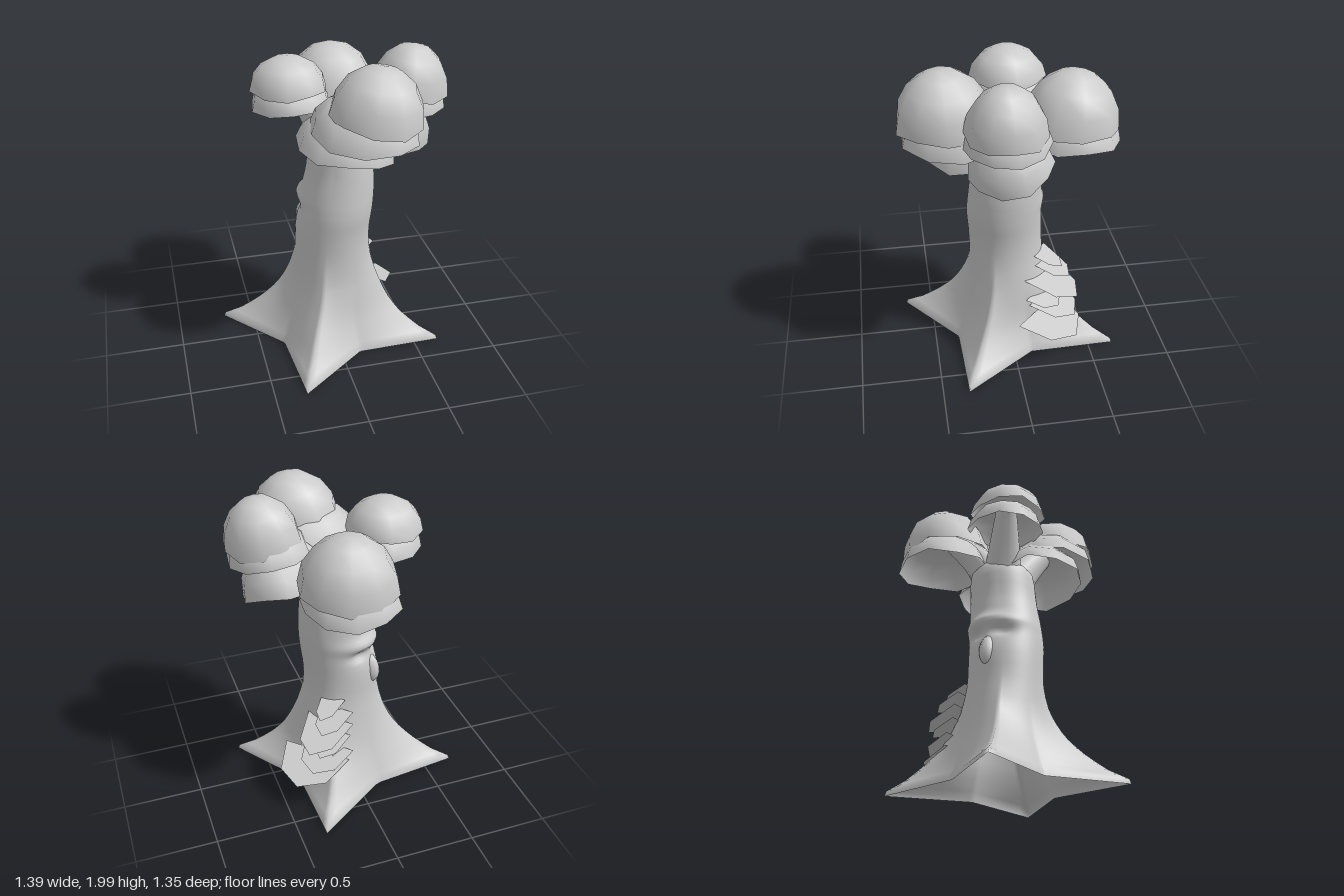
import * as THREE from 'three';
import { mergeVertices } from 'three/addons/utils/BufferGeometryUtils.js';

const grey = new THREE.MeshStandardMaterial({ color: 0xcccccc });
const greyThin = new THREE.MeshStandardMaterial({ color: 0xcccccc, side: THREE.DoubleSide });
const rad = THREE.MathUtils.degToRad;

function addMesh(parent, name, geometry, material = grey) {
  const mesh = new THREE.Mesh(geometry, material);
  mesh.name = name;
  parent.add(mesh);
  return mesh;
}

// Trunk profile: height, centre x, centre z, radius x, radius z, reach of the roots
const TOP = 1.58;
const PROFILE = [
  [0.00, 0.00, 0.00, 0.37, 0.37, 0.745],
  [0.04, 0.00, 0.00, 0.36, 0.36, 0.735],
  [0.10, 0.00, 0.00, 0.335, 0.335, 0.61],
  [0.20, 0.00, 0.00, 0.30, 0.30, 0.48],
  [0.30, 0.01, 0.00, 0.28, 0.275, 0.385],
  [0.40, 0.02, 0.00, 0.265, 0.26, 0.325],
  [0.50, 0.02, 0.00, 0.255, 0.245, 0.28],
  [0.65, 0.015, 0.01, 0.24, 0.235, 0.24],
  [0.80, 0.015, 0.015, 0.235, 0.235, 0.235],
  [0.95, 0.035, 0.025, 0.235, 0.24, 0.237],
  [1.10, 0.05, 0.02, 0.23, 0.23, 0.23],
  [1.25, 0.065, 0.015, 0.21, 0.22, 0.21],
  [1.45, 0.055, 0.00, 0.20, 0.21, 0.205],
  [1.53, 0.055, 0.00, 0.16, 0.17, 0.165],
  [TOP, 0.055, 0.00, 0.0, 0.0, 0.0],
];
const ROOTS = [27, 114, 201, 297].map(rad);
const FACE = rad(225);

function profileAt(y) {
  let i = 1;
  while (i < PROFILE.length - 1 && PROFILE[i][0] < y) i++;
  const a = PROFILE[i - 1], b = PROFILE[i];
  const t = (y - a[0]) / (b[0] - a[0]);
  return a.map((v, k) => v + (b[k] - v) * t);
}

// Averages neighbouring heights so the profile has no kinks
function smoothProfile(y) {
  const w = Math.min(0.06, y * 0.15, TOP - y);
  const [a, b, c] = [y - w, y, y + w].map(profileAt);
  return b.map((v, k) => (a[k] + 2 * v + c[k]) / 4);
}

const bump = (a, w) => Math.exp(-(a * a) / (w * w));
const angleGap = (a, b) => Math.atan2(Math.sin(a - b), Math.cos(a - b));

function trunkPoint(y, angle) {
  const [, cx, cz, rx, rz, reach] = smoothProfile(y);
  // Roots run to points, as the corners of a four-armed star
  const gap = Math.min(...ROOTS.map((r) => Math.abs(angleGap(angle, r))));
  const lobe = Math.max(0, 2 / (Math.cos(gap) + 1.83 * Math.sin(gap)) - 1);
  const mean = (rx + rz) / 2;
  const grow = mean > 0 ? 1 + (reach / mean - 1) * lobe : 0;
  // Brow ridge, eye hollows and cheeks
  const s = angleGap(angle, FACE);
  const face = 0.04 * bump(s, 0.85) * bump(y - 1.04, 0.045)
    - 0.03 * bump(Math.abs(s) - 0.42, 0.3) * bump(y - 0.96, 0.035)
    + 0.012 * bump(s, 0.7) * bump(y - 0.82, 0.1);
  return [cx + Math.cos(angle) * (rx * grow + face), y, cz + Math.sin(angle) * (rz * grow + face)];
}

// Rings stacked from the open base to the closed top
function trunkGeometry() {
  const N = 120, pos = [], idx = [];
  const heights = [0.01, 0.04, 0.07, 0.1, 0.15, 0.2, 0.25, 0.3, 0.35, 0.4, 0.45, 0.5, 0.58, 0.65, 0.72, 0.8, 0.86];
  for (let y = 0.9; y < 1.15; y += 0.02) heights.push(y);
  heights.push(1.2, 1.25, 1.32, 1.39, 1.45, 1.49, 1.53, TOP);
  for (const y of heights) for (let j = 0; j < N; j++) pos.push(...trunkPoint(y, (j / N) * Math.PI * 2));
  for (let i = 0; i < heights.length - 1; i++) {
    for (let j = 0; j < N; j++) {
      const a = i * N + j, b = i * N + (j + 1) % N;
      idx.push(a, a + N, b, b, a + N, b + N);
    }
  }
  const g = new THREE.BufferGeometry();
  g.setAttribute('position', new THREE.Float32BufferAttribute(pos, 3));
  g.setIndex(idx);
  g.computeVertexNormals();
  return g;
}

// Joins seam vertices so the shading is continuous
function smooth(geometry) {
  geometry.deleteAttribute('uv');
  geometry.deleteAttribute('normal');
  const g = mergeVertices(geometry);
  g.computeVertexNormals();
  return g;
}

// Tube whose radius shrinks from r0 to r1
function branchGeometry(points, r0, r1) {
  const curve = new THREE.CatmullRomCurve3(points.map((p) => new THREE.Vector3(...p)));
  const n = 10, sides = 12;
  const g = new THREE.TubeGeometry(curve, n, 1, sides);
  const p = g.attributes.position, v = new THREE.Vector3();
  for (let i = 0; i < p.count; i++) {
    const t = Math.floor(i / (sides + 1)) / n, c = curve.getPointAt(t);
    v.fromBufferAttribute(p, i).sub(c).multiplyScalar(r0 + (r1 - r0) * t).add(c);
    p.setXYZ(i, v.x, v.y, v.z);
  }
  return smooth(g);
}

// Open low-sided dome with an uneven rim
function domeGeometry(seed) {
  const sides = 10;
  const g = new THREE.SphereGeometry(1, sides, 4, seed, Math.PI * 2, 0, Math.PI / 2);
  const p = g.attributes.position;
  for (let i = 0; i < p.count; i++) {
    const y = p.getY(i), j = (i % (sides + 1)) % sides;
    const low = Math.max(0, 1 - y * 1.5);
    const k = 1 + 0.03 * low * Math.sin(j * 2.4 + seed * 3);
    p.setXYZ(i, p.getX(i) * k, y + 0.06 * low * Math.sin(j * 1.9 + seed * 5), p.getZ(i) * k);
  }
  return smooth(g);
}

// Layers: centre x, rim height, centre z, radius, dome height, tilt x, tilt z
const CROWNS = [
  { name: 'frontCrown', tip: [0.16, 1.78, 0.36], layers: [
    [0.175, 1.67, 0.395, 0.285, 0.32, 0.03, -0.12],
    [0.125, 1.56, 0.33, 0.33, 0.25, 0.05, -0.08],
    [0.035, 1.43, 0.24, 0.30, 0.25, 0.0, -0.16]] },
  { name: 'backCrown', tip: [0.1, 1.7, -0.32], layers: [
    [0.10, 1.57, -0.37, 0.295, 0.33, -0.12, 0],
    [0.09, 1.47, -0.39, 0.29, 0.22, -0.05, 0]] },
  { name: 'leftCrown', tip: [0.44, 1.8, 0.04], layers: [
    [0.47, 1.71, 0.075, 0.235, 0.29, 0, -0.12],
    [0.445, 1.63, 0.065, 0.25, 0.2, 0.04, -0.1],
    [0.375, 1.42, 0.03, 0.25, 0.27, 0.2, -0.15]] },
  { name: 'rightCrown', tip: [-0.21, 1.8, -0.04], layers: [
    [-0.245, 1.74, -0.04, 0.235, 0.2, 0, 0],
    [-0.23, 1.64, -0.05, 0.24, 0.18, 0, 0.06]] },
];

// Bark shelves: height, sideways shift, half width, distance of the tip from the axis
const SHELVES = [
  [0.68, 0.04, 0.08, 0.41], [0.61, 0.07, 0.11, 0.45], [0.53, 0.03, 0.16, 0.54],
  [0.45, 0.07, 0.11, 0.48], [0.40, -0.02, 0.13, 0.43], [0.35, 0.04, 0.17, 0.52],
  [0.28, -0.04, 0.23, 0.59],
];
const SHELF_TILT = 0.28;

export function createModel() {
  const model = new THREE.Group();
  model.name = 'tree';

  addMesh(model, 'trunkAndRoots', trunkGeometry(), greyThin);

  // Nose
  const nose = addMesh(model, 'nose', new THREE.SphereGeometry(1, 10, 8));
  const [nx, , nz] = trunkPoint(0.83, FACE);
  nose.position.set(nx + 0.015, 0.83, nz + 0.015);
  nose.rotation.set(-0.2, FACE, 0, 'YXZ');
  nose.scale.set(0.05, 0.1, 0.055);

  // Forking branches with layered crowns
  CROWNS.forEach(({ name, tip, layers }, c) => {
    const crown = new THREE.Group();
    crown.name = name;
    model.add(crown);
    const mid = [0.06 + (tip[0] - 0.06) * 0.45, 1.55, tip[2] * 0.45];
    addMesh(crown, 'branch', branchGeometry([[0.06, 1.32, 0], mid, tip], 0.15, 0.07));
    layers.forEach(([x, y, z, r, h, tx, tz], i) => {
      const dome = addMesh(crown, 'foliageDome', domeGeometry(c * 1.3 + i * 0.7), greyThin);
      dome.position.set(x, y, z);
      dome.rotation.set(tx, 0, tz);
      dome.scale.set(r, h, r);
    });
  });

  // Thin shelves stepping up one side of the trunk
  const shelves = new THREE.Group();
  shelves.name = 'barkShelves';
  shelves.rotation.y = rad(135);
  model.add(shelves);
  for (const [y, shift, half, tip] of SHELVES) {
    const [px, , pz] = trunkPoint(y, rad(-45));
    const start = Math.hypot(px, pz) - 0.03;
    const g = new THREE.CircleGeometry(1, 4, 0, Math.PI);
    g.scale(half, (tip - start) / Math.cos(SHELF_TILT), 1);
    g.rotateX(Math.PI / 2 + SHELF_TILT);
    const shelf = addMesh(shelves, 'shelf', g, greyThin);
    shelf.position.set(shift, y, start);
  }
  return model;
}
